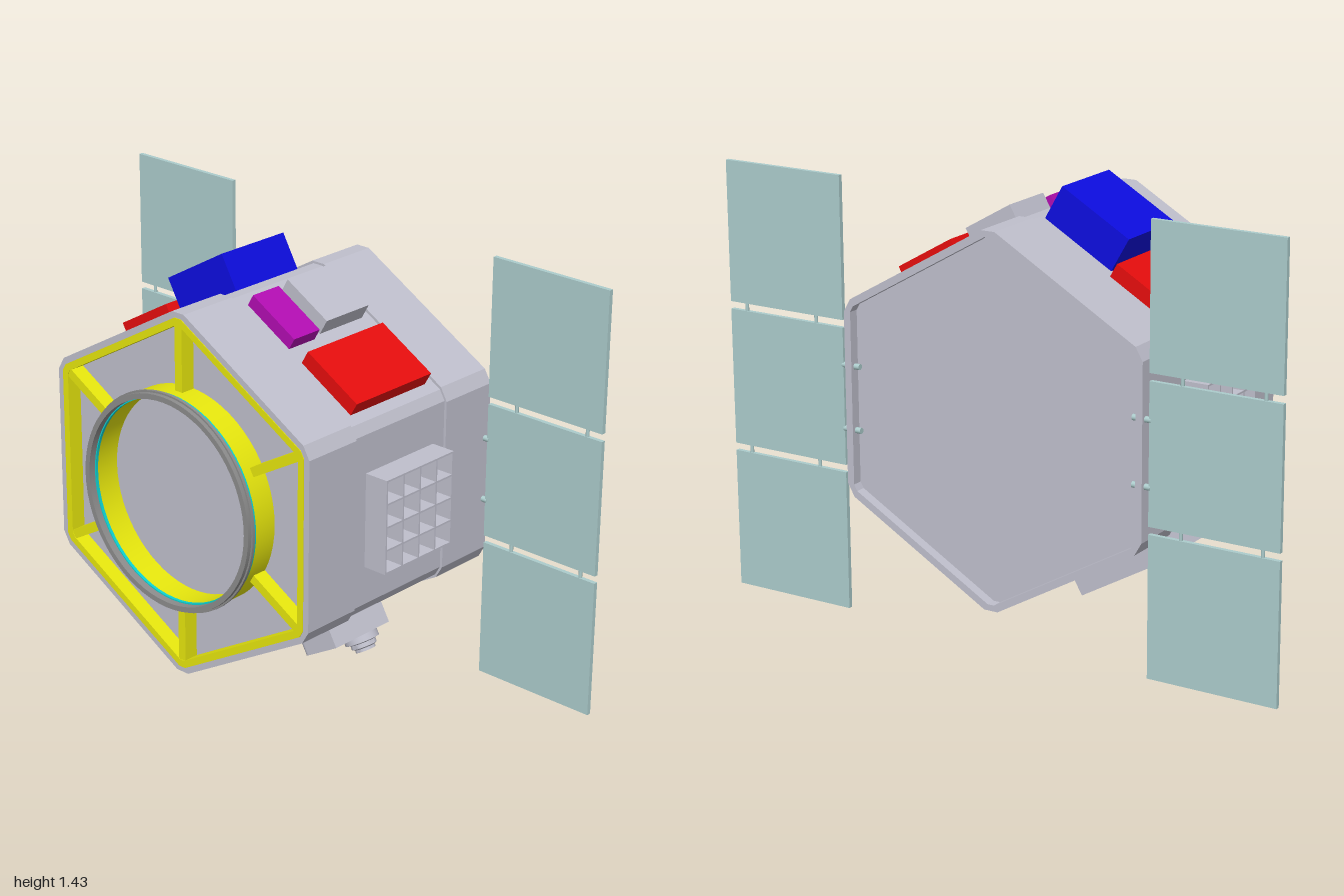
import * as THREE from 'three';
import { toCreasedNormals } from 'three/addons/utils/BufferGeometryUtils.js';

const mat = (name, color) => {
  const m = new THREE.MeshStandardMaterial({ color });
  m.name = name;
  return m;
};
const CY = 0.72;        // height of the hexagon's axis
const MIDX = 0.032;     // middle of the equipment bay along the axis

// hexagon with clipped corners: six faces at the given apothem
function hexPoints(apothem, half) {
  const pts = [];
  for (let i = 0; i < 6; i++) {
    const a = i * Math.PI / 3, c = Math.cos(a), s = Math.sin(a);
    for (const t of [-half, half]) pts.push(new THREE.Vector2(apothem * c - t * s, apothem * s + t * c));
  }
  return pts;
}

// hexagonal prism along x, optionally hollow
function hexPrism(x0, x1, outer, inner) {
  const shape = new THREE.Shape(hexPoints(...outer));
  if (inner) shape.holes.push(new THREE.Path(hexPoints(...inner).reverse()));
  return new THREE.ExtrudeGeometry(shape, { depth: x1 - x0, bevelEnabled: false })
    .rotateY(Math.PI / 2).translate(x0, 0, 0);
}

// turned part with hard edges, axis along y
const turned = (pts, seg = 64) => toCreasedNormals(
  new THREE.LatheGeometry(pts.map(p => new THREE.Vector2(...p)), seg), 0.6);

export function createModel() {
  const grey = mat('body grey', 0xbfbfcc);
  const yellow = mat('frame yellow', 0xe6e60d);
  const red = mat('red', 0xe60d0d);
  const blue = mat('blue', 0x0d0de0);
  const magenta = mat('magenta', 0xb20db2);
  const teal = mat('solar panel teal', 0xaccccc);
  const cyan = mat('cyan', 0x0dd0d0);
  const steel = mat('ring grey', 0x8c8c8c);

  const model = new THREE.Group();
  model.name = 'satellite';
  const add = (parent, name, geo, material, x = 0, y = 0, z = 0) => {
    const m = new THREE.Mesh(geo, material);
    m.name = name;
    m.position.set(x, y, z);
    parent.add(m);
    return m;
  };
  const box = (parent, name, material, [x0, x1], [y0, y1], [z0, z1]) =>
    add(parent, name, new THREE.BoxGeometry(x1 - x0, y1 - y0, z1 - z0), material,
      (x0 + x1) / 2, (y0 + y1) / 2, (z0 + z1) / 2);

  const body = new THREE.Group();
  body.name = 'body';
  body.position.y = CY;
  model.add(body);

  // hull: solid core, lower middle band, raised hollow ends
  add(body, 'core', hexPrism(-0.34, 0.42, [0.522, 0.285]), grey);
  add(body, 'middleBand', hexPrism(-0.185, 0.245, [0.532, 0.285]), grey);
  add(body, 'rightShell', hexPrism(-0.39, -0.18, [0.541, 0.284], [0.517, 0.285]), grey);
  add(body, 'leftShell', hexPrism(0.24, 0.455, [0.541, 0.284], [0.517, 0.285]), grey);

  // yellow end frame with spokes to the docking ring
  add(body, 'endFrame', hexPrism(-0.392, -0.335, [0.52, 0.285], [0.497, 0.276]), yellow);
  for (let i = 0; i < 6; i++) {
    const a = Math.PI / 6 + i * Math.PI / 3, r = 0.46;
    const spoke = add(body, 'spoke', new THREE.BoxGeometry(0.055, 0.23, 0.03), yellow,
      -0.363, r * Math.sin(a), r * Math.cos(a));
    spoke.rotation.x = Math.PI / 2 - a;
  }

  // docking ring, in three bands
  const band = (name, material, r0, r1, x0, x1) => add(body, name,
    turned([[r0, x0], [r1, x0], [r1, x1], [r0, x1], [r0, x0]]).rotateZ(Math.PI / 2), material);
  band('dockingRing', yellow, 0.335, 0.355, 0.335, 0.424);
  band('ringSeal', cyan, 0.334, 0.357, 0.424, 0.434);
  band('ringFlange', steel, 0.338, 0.362, 0.434, 0.444);
  band('ringLip', steel, 0.338, 0.356, 0.444, 0.458);

  // groups whose +z points out of one face of the hexagon
  const face = (name, degrees) => {
    const g = new THREE.Group();
    g.name = name;
    g.rotation.x = THREE.MathUtils.degToRad(degrees);
    body.add(g);
    return g;
  };

  // open 4 x 4 cell grids
  const cellGrid = (parent) => {
    const g = new THREE.Group();
    g.name = 'cellGrid';
    g.position.x = MIDX;
    parent.add(g);
    const h = 0.157, w = 0.003, depth = [0.525, 0.616];
    for (let i = 0; i < 5; i++) {
      const p = (i / 4 - 0.5) * 2 * (h - w);
      box(g, 'gridWall', grey, [p - w, p + w], [-h, h], depth);
      box(g, 'gridWall', grey, [-h, h], [p - w, p + w], depth);
    }
  };
  cellGrid(face('frontFace', 0));
  cellGrid(face('backFace', 180));
  cellGrid(face('lowerBackFace', 120));

  // boxes on the upper faces
  const upFront = face('upperFrontFace', -60);
  box(upFront, 'redPlate', red, [-0.14, 0.205], [-0.247, -0.016], [0.525, 0.581]);
  box(upFront, 'magentaBox', magenta, [-0.14, -0.025], [0.045, 0.244], [0.525, 0.575]);
  box(upFront, 'greyBox', grey, [0.01, 0.205], [0.056, 0.246], [0.525, 0.589]);
  const upBack = face('upperBackFace', -120);
  box(upBack, 'redPlate', red, [-0.14, 0.205], [0.016, 0.247], [0.525, 0.581]);
  box(upBack, 'blueBox', blue, [-0.105, 0.175], [-0.274, 0], [0.525, 0.656]);

  // camera on the lower front face, housing rounded at its lower corners
  const lowFront = face('lowerFrontFace', 60);
  const [x0, x1, y0, y1, r] = [-0.085, 0.17, -0.08, 0.08, 0.025];
  const s = new THREE.Shape();
  s.moveTo(x0, y1);
  s.lineTo(x0, y0 + r);
  s.absarc(x0 + r, y0 + r, r, Math.PI, Math.PI * 1.5);
  s.absarc(x1 - r, y0 + r, r, Math.PI * 1.5, Math.PI * 2);
  s.lineTo(x1, y1);
  add(lowFront, 'cameraHousing',
    new THREE.ExtrudeGeometry(s, { depth: 0.105, bevelEnabled: false }), grey, 0, 0, 0.525);
  add(lowFront, 'lens', turned([[0.058, 0], [0.058, 0.026], [0.043, 0.03], [0.043, 0.044],
    [0.034, 0.048], [0.034, 0.058], [0.026, 0.058], [0.026, 0.04], [0, 0.04]], 32)
    .rotateX(Math.PI / 2), grey, 0.1, 0.005, 0.63);

  // solar wings: three panels each, hinged together and pinned to the hull
  for (const side of [1, -1]) {
    const wing = new THREE.Group();
    wing.name = side > 0 ? 'frontWing' : 'backWing';
    model.add(wing);
    const X = 0.435;
    for (const y of [0.2325, 0.7175, 1.2025])
      add(wing, 'solarPanel', new THREE.BoxGeometry(0.015, y === 0.7175 ? 0.455 : 0.465, 0.443),
        teal, X, y, side * 0.7785);
    for (const y of [0.4775, 0.9625])
      for (const z of [0.665, 0.94])
        add(wing, 'panelHinge', new THREE.CylinderGeometry(0.006, 0.006, 0.04, 10), teal, X, y, side * z);
    for (const y of [0.612, 0.823])
      add(wing, 'wingPin', new THREE.CylinderGeometry(0.01, 0.01, 0.065, 12).rotateX(Math.PI / 2),
        teal, X, y, side * 0.53);
  }
  return model;
}
